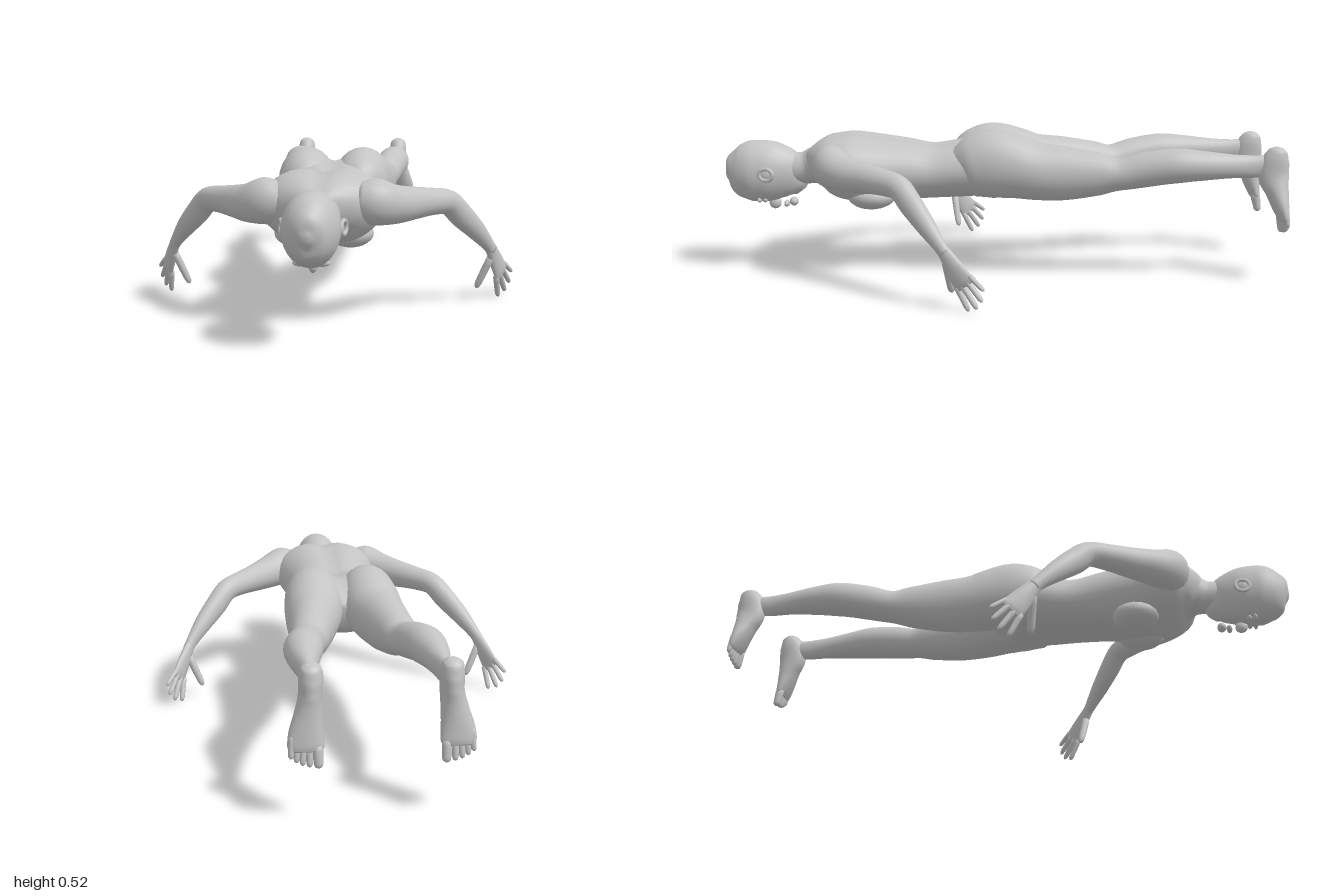
import * as THREE from 'three';

const skin = new THREE.MeshStandardMaterial({ color: 0xc4c4c4 });
skin.name = 'plain grey';
const X = new THREE.Vector3(1, 0, 0);
const Y = new THREE.Vector3(0, 1, 0);

// Smooth closed tube through rows [x, y, z, a, b]; a is the half size along ref, b across it
function limb(name, rows, ref, { seg = 20, steps = 4, warp } = {}) {
  const path = new THREE.CatmullRomCurve3(rows.map(r => new THREE.Vector3(r[0], r[1], r[2])));
  const size = new THREE.CatmullRomCurve3(rows.map(r => new THREE.Vector3(r[3], r[4], 0)));
  const n = (rows.length - 1) * steps;
  const pos = [], index = [];
  for (let i = 0; i <= n; i++) {
    const c = path.getPoint(i / n), s = size.getPoint(i / n), t = path.getTangent(i / n);
    const side = ref.clone().addScaledVector(t, -ref.dot(t)).normalize();
    const up = t.clone().cross(side);
    for (let j = 0; j < seg; j++) {
      const q = j / seg * Math.PI * 2;
      const p = c.clone().addScaledVector(side, s.x * Math.cos(q)).addScaledVector(up, s.y * Math.sin(q));
      if (warp) warp(p, c);
      pos.push(p.x, p.y, p.z);
      if (i < n) {
        const a = i * seg + j, b = i * seg + (j + 1) % seg;
        index.push(a, b, b + seg, a, b + seg, a + seg);
      }
    }
  }
  const first = rows[0], last = rows[rows.length - 1], k = pos.length / 3;
  pos.push(...first.slice(0, 3), ...last.slice(0, 3));
  for (let j = 0; j < seg; j++) {
    const m = (j + 1) % seg;
    index.push(k, m, j, k + 1, n * seg + j, n * seg + m);
  }
  const g = new THREE.BufferGeometry();
  g.setAttribute('position', new THREE.Float32BufferAttribute(pos, 3));
  g.setIndex(index);
  g.computeVertexNormals();
  const mesh = new THREE.Mesh(g, skin);
  mesh.name = name;
  return mesh;
}

function blob(name, x, y, z, rx, ry, rz) {
  const mesh = new THREE.Mesh(new THREE.SphereGeometry(1, 18, 12).scale(rx, ry, rz), skin);
  mesh.position.set(x, y, z);
  mesh.name = name;
  return mesh;
}

// Finger or toe with a rounded tip
function digit(name, from, to, r) {
  const at = t => from.map((v, i) => v + (to[i] - v) * t);
  const rows = [[0, 1], [0.45, 0.95], [0.8, 0.88], [0.94, 0.65], [1, 0.15]]
    .map(([t, k]) => [...at(t), r * k, r * k]);
  return limb(name, rows, X, { seg: 10, steps: 2 });
}

// Body section rows: [z, inner x, outer x, top, bottom]
const sections = (rows, s = 1) => rows.map(([z, i, o, t, b]) =>
  [s * (i + o) / 2, (t + b) / 2, z, (o - i) / 2, (t - b) / 2]);

export function createModel() {
  const body = new THREE.Group();
  body.name = 'lyingFigure';

  // Torso with a groove along the spine
  body.add(limb('torso', sections([
    [0.70, -0.05, 0.05, 0.435, 0.33], [0.665, -0.12, 0.12, 0.465, 0.315],
    [0.62, -0.175, 0.175, 0.493, 0.295], [0.55, -0.197, 0.197, 0.503, 0.268],
    [0.45, -0.18, 0.18, 0.493, 0.255], [0.35, -0.162, 0.162, 0.48, 0.264],
    [0.25, -0.156, 0.156, 0.462, 0.27], [0.15, -0.172, 0.172, 0.472, 0.275],
    [0.05, -0.185, 0.185, 0.49, 0.28], [-0.03, -0.14, 0.14, 0.47, 0.285],
    [-0.08, -0.05, 0.05, 0.41, 0.31],
  ]), X, {
    seg: 36,
    warp: (p, c) => {
      const dx = Math.abs(p.x), f = (p.y - c.y) / 0.12;
      p.y += f * 0.012 * Math.min(1, dx / 0.12);
      if (f > 0) p.y -= 0.016 * f * Math.exp(-((dx / 0.035) ** 2));
    },
  }));

  // Neck and head, face down
  body.add(limb('neck', sections([
    [0.82, -0.05, 0.05, 0.42, 0.32], [0.76, -0.053, 0.053, 0.428, 0.315],
    [0.71, -0.058, 0.058, 0.433, 0.315], [0.67, -0.085, 0.085, 0.452, 0.315],
    [0.62, -0.11, 0.11, 0.46, 0.32],
  ]), X));
  body.add(limb('head', sections([
    [0.728, -0.012, 0.012, 0.31, 0.268], [0.74, -0.035, 0.035, 0.36, 0.25],
    [0.765, -0.055, 0.055, 0.415, 0.24], [0.80, -0.074, 0.074, 0.452, 0.243],
    [0.85, -0.087, 0.087, 0.474, 0.249], [0.90, -0.087, 0.087, 0.475, 0.251],
    [0.95, -0.071, 0.071, 0.455, 0.268], [0.983, -0.045, 0.045, 0.423, 0.30],
    [0.996, -0.02, 0.02, 0.385, 0.335], [1.0, -0.004, 0.004, 0.364, 0.356],
  ]), X, { seg: 28 }));
  body.add(blob('nose', 0, 0.245, 0.825, 0.014, 0.022, 0.022));
  body.add(blob('lips', 0, 0.242, 0.783, 0.024, 0.012, 0.010));
  body.add(blob('chin', 0, 0.25, 0.757, 0.022, 0.016, 0.016));

  for (const s of [1, -1]) {
    const side = new THREE.Group();
    side.name = s > 0 ? 'leftSide' : 'rightSide';
    body.add(side);

    // Face and chest details
    const ear = new THREE.Mesh(new THREE.TorusGeometry(0.021, 0.007, 8, 16).scale(1.2, 1, 1), skin);
    ear.name = 'earRim';
    ear.position.set(s * 0.092, 0.362, 0.84);
    ear.rotation.y = s * (Math.PI / 2 - 0.25);
    side.add(ear, blob('ear', s * 0.086, 0.362, 0.84, 0.007, 0.02, 0.022));
    side.add(blob('eye', s * 0.032, 0.263, 0.855, 0.015, 0.011, 0.009));
    side.add(blob('brow', s * 0.032, 0.262, 0.875, 0.024, 0.011, 0.008));
    side.add(blob('chest', s * 0.088, 0.285, 0.465, 0.075, 0.047, 0.085));

    // Leg, with the buttock as its upper end
    side.add(limb('leg', sections([
      [0.17, 0.05, 0.14, 0.44, 0.31], [0.11, 0.003, 0.187, 0.497, 0.282],
      [0.03, -0.002, 0.203, 0.525, 0.28], [-0.05, 0, 0.21, 0.507, 0.278],
      [-0.12, 0.017, 0.213, 0.482, 0.275], [-0.22, 0.045, 0.213, 0.47, 0.276],
      [-0.35, 0.08, 0.216, 0.448, 0.298], [-0.42, 0.10, 0.222, 0.433, 0.318],
      [-0.50, 0.115, 0.237, 0.455, 0.331], [-0.60, 0.13, 0.255, 0.47, 0.347],
      [-0.70, 0.15, 0.25, 0.462, 0.358], [-0.80, 0.168, 0.233, 0.45, 0.366],
      [-0.88, 0.178, 0.222, 0.446, 0.368], [-0.95, 0.182, 0.222, 0.45, 0.385],
    ], s), X, { seg: 24 }));

    // Foot hanging down, sole facing back
    side.add(limb('foot', [
      [0.203, 0.474, -0.962, 0.014, 0.014], [0.203, 0.462, -0.959, 0.030, 0.032],
      [0.203, 0.425, -0.949, 0.036, 0.049], [0.205, 0.375, -0.944, 0.035, 0.054],
      [0.212, 0.32, -0.957, 0.042, 0.040], [0.219, 0.27, -0.969, 0.051, 0.029],
      [0.221, 0.235, -0.978, 0.053, 0.020], [0.221, 0.22, -0.981, 0.047, 0.014],
    ].map(([x, ...r]) => [s * x, ...r]), X));
    [[0.185, 0.170, 0.016], [0.211, 0.174, 0.011], [0.231, 0.180, 0.0105],
      [0.249, 0.189, 0.010], [0.265, 0.201, 0.010]].forEach(([x, y, r]) =>
      side.add(digit('toe', [s * (x * 0.9 + 0.021), y + 0.065, -0.978], [s * x, y, -0.987], r)));

    // Arm from shoulder to wrist
    side.add(limb('arm', [
      [0.11, 0.415, 0.61, 0.05, 0.05], [0.17, 0.405, 0.595, 0.075, 0.068],
      [0.225, 0.392, 0.552, 0.064, 0.064], [0.29, 0.386, 0.475, 0.053, 0.052],
      [0.35, 0.382, 0.405, 0.045, 0.045], [0.405, 0.371, 0.343, 0.042, 0.039],
      [0.445, 0.327, 0.304, 0.043, 0.036], [0.50, 0.266, 0.252, 0.035, 0.030],
      [0.545, 0.208, 0.205, 0.024, 0.019], [0.56, 0.185, 0.188, 0.022, 0.016],
    ].map(([x, ...r]) => [s * x, ...r]), Y));

    // Hand with spread fingers
    side.add(limb('palm', [
      [0.548, 0.204, 0.202, 0.021, 0.016], [0.563, 0.175, 0.18, 0.027, 0.016],
      [0.58, 0.135, 0.153, 0.036, 0.015], [0.594, 0.102, 0.13, 0.040, 0.012],
      [0.60, 0.088, 0.121, 0.034, 0.007],
    ].map(([x, ...r]) => [s * x, ...r]), Y));
    [[[0.579, 0.082, 0.15], [0.589, 0.004, 0.112], 0.0105],
      [[0.59, 0.095, 0.135], [0.615, 0.018, 0.085], 0.0105],
      [[0.60, 0.11, 0.12], [0.632, 0.046, 0.068], 0.010],
      [[0.606, 0.125, 0.11], [0.64, 0.085, 0.063], 0.009]].forEach(([[x, y, z], [u, v, w], r]) =>
      side.add(digit('finger', [s * x, y, z], [s * u, v, w], r)));
    side.add(digit('thumb', [s * 0.556, 0.155, 0.185], [s * 0.508, 0.045, 0.168], 0.014));
  }
  return body;
}
